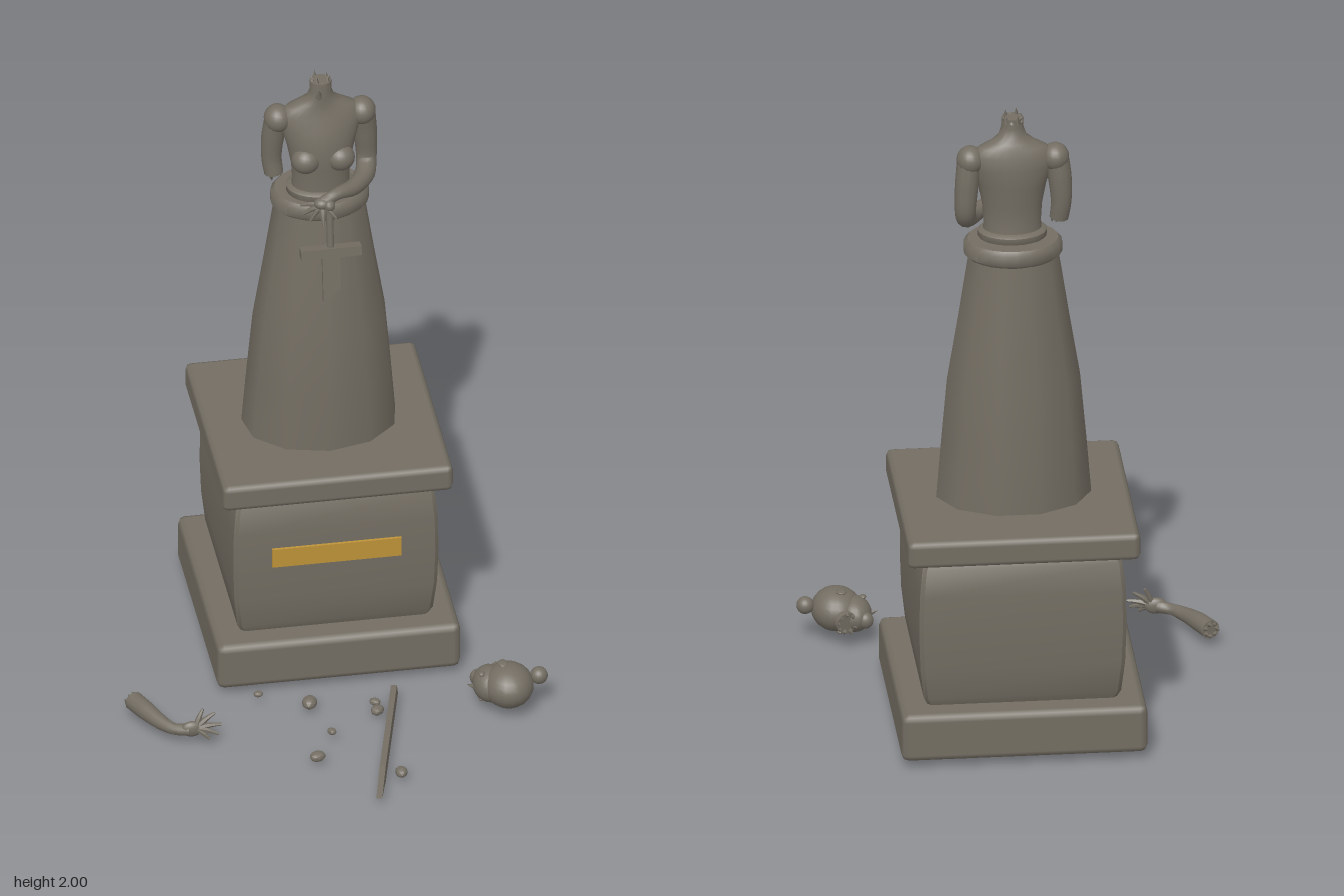
import * as THREE from 'three';
import { toCreasedNormals } from 'three/addons/utils/BufferGeometryUtils.js';
import { RoundedBoxGeometry } from 'three/addons/geometries/RoundedBoxGeometry.js';

const stone = new THREE.MeshStandardMaterial({ color: 0x736d62 });
stone.name = 'weathered stone';
const brass = new THREE.MeshStandardMaterial({ color: 0xbd9238 });
brass.name = 'brass';

const CX = 0.032, CZ = -0.33;
const V = (x, y, z) => new THREE.Vector3(x, y, z);

function add(parent, name, geometry, x = 0, y = 0, z = 0, material = stone) {
  const mesh = new THREE.Mesh(geometry, material);
  mesh.name = name;
  mesh.position.set(x, y, z);
  parent.add(mesh);
  return mesh;
}

// Skin a row of closed rings and cap both ends.
function loft(rings, crease = 0.8) {
  const n = rings[0].length, pos = [], index = [];
  const push = p => pos.push(p.x, p.y, p.z);
  rings.forEach(r => r.forEach(push));
  for (let i = 0; i < rings.length - 1; i++) {
    for (let j = 0; j < n; j++) {
      const a = i * n + j, b = i * n + (j + 1) % n;
      index.push(a, b, b + n, a, b + n, a + n);
    }
  }
  [0, rings.length - 1].forEach((k, end) => {
    const c = rings[k].reduce((s, p) => s.add(p), V(0, 0, 0)).divideScalar(n);
    const centre = pos.length / 3;
    push(c);
    for (let j = 0; j < n; j++) {
      const a = k * n + j, b = k * n + (j + 1) % n;
      if (end) index.push(a, b, centre);
      else index.push(b, a, centre);
    }
  });
  const g = new THREE.BufferGeometry();
  g.setAttribute('position', new THREE.Float32BufferAttribute(pos, 3));
  g.setIndex(index);
  return toCreasedNormals(g, crease);
}

// Upright body from sections [y, centre z, half width, half depth].
function body(sections, sides, crease) {
  return loft(sections.map(([y, z, rx, rz]) => Array.from({ length: sides }, (_, j) => {
    const a = j / sides * Math.PI * 2;
    return V(CX + Math.sin(a) * rx, y, z + Math.cos(a) * rz);
  })), crease);
}

// Tapered limb through points [x, y, z, radius].
function limb(points, steps = 16, sides = 12) {
  const curve = new THREE.CatmullRomCurve3(points.map(p => V(p[0], p[1], p[2])));
  const frames = curve.computeFrenetFrames(steps);
  const rings = [];
  for (let i = 0; i <= steps; i++) {
    const u = i / steps, t = curve.getUtoTmapping(u) * (points.length - 1);
    const k = Math.min(Math.floor(t), points.length - 2);
    const r = THREE.MathUtils.lerp(points[k][3], points[k + 1][3], t - k);
    const c = curve.getPointAt(u);
    rings.push(Array.from({ length: sides }, (_, j) => {
      const a = j / sides * Math.PI * 2;
      return c.clone().addScaledVector(frames.normals[i], r * Math.cos(a))
        .addScaledVector(frames.binormals[i], r * Math.sin(a));
    }));
  }
  return loft(rings, 1.0);
}

function ball(parent, name, x, y, z, rx, ry = rx, rz = rx) {
  return add(parent, name, new THREE.SphereGeometry(1, 20, 14).scale(rx, ry, rz), x, y, z);
}

function fingers(parent, palm, tips) {
  tips.forEach(([x, y, z]) => add(parent, 'finger', limb([
    [...palm, 0.011],
    [(palm[0] + x) / 2, (palm[1] + y) / 2 + 0.004, (palm[2] + z) / 2, 0.0085],
    [x, y, z, 0.004]], 6, 6)));
}

// Ragged splinters around a break.
function splinters(parent, centre, radius, dir, count, length) {
  const d = dir.clone().normalize();
  const q = new THREE.Quaternion().setFromUnitVectors(V(0, 1, 0), d);
  for (let i = 0; i < count; i++) {
    const a = i / count * Math.PI * 2, h = length * (0.6 + 0.4 * Math.sin(i * 2.4));
    const p = V(Math.cos(a) * radius, h * 0.3, Math.sin(a) * radius).applyQuaternion(q).add(centre);
    add(parent, 'splinter', new THREE.ConeGeometry(0.009, h, 4), p.x, p.y, p.z).quaternion.copy(q);
  }
}

function extrude(points, depth) {
  const shape = new THREE.Shape(points.map(p => new THREE.Vector2(p[0], p[1])));
  return new THREE.ExtrudeGeometry(shape, { depth, bevelEnabled: false }).translate(0, 0, -depth / 2);
}

function pedestal() {
  const g = new THREE.Group();
  g.name = 'pedestal';
  add(g, 'baseSlab', new RoundedBoxGeometry(0.745, 0.153, 0.737, 1, 0.022), CX, 0.099, CZ);
  add(g, 'topSlab', new RoundedBoxGeometry(0.705, 0.086, 0.7, 1, 0.018), CX, 0.698, CZ);
  // Square block whose sides swell in the middle
  const prof = [[0.17, 0.285], [0.2, 0.299], [0.3, 0.31], [0.42, 0.314], [0.54, 0.312], [0.63, 0.303], [0.66, 0.285]];
  add(g, 'block', loft(prof.map(([y, h]) => {
    const c = h - 0.012;
    return [[-c, h], [c, h], [h, c], [h, -c], [c, -h], [-c, -h], [-h, -c], [-h, c]]
      .map(([x, z]) => V(CX + x, y, CZ + z));
  }), 0.6));
  add(g, 'plaque', new THREE.BoxGeometry(0.395, 0.064, 0.009), CX, 0.453, -0.012, brass);
  return g;
}

function statue() {
  const g = new THREE.Group();
  g.name = 'statue';
  add(g, 'skirt', body([[0.735, -0.32, 0.238, 0.188], [0.93, -0.318, 0.222, 0.18],
    [1.13, -0.315, 0.204, 0.167], [1.33, -0.318, 0.171, 0.142], [1.55, -0.32, 0.137, 0.113]], 11));
  add(g, 'skirtRim', body([[1.53, -0.32, 0.138, 0.114], [1.54, -0.32, 0.15, 0.122],
    [1.572, -0.32, 0.15, 0.122], [1.585, -0.32, 0.138, 0.113]], 22));
  add(g, 'waistband', body([[1.58, -0.305, 0.1, 0.078], [1.588, -0.305, 0.105, 0.083],
    [1.605, -0.305, 0.105, 0.083], [1.612, -0.305, 0.095, 0.073]], 24));
  add(g, 'torso', body([[1.57, -0.305, 0.094, 0.07], [1.63, -0.302, 0.087, 0.063],
    [1.69, -0.3, 0.091, 0.065], [1.76, -0.302, 0.104, 0.07], [1.82, -0.312, 0.122, 0.062],
    [1.86, -0.315, 0.128, 0.053], [1.885, -0.315, 0.104, 0.045], [1.902, -0.313, 0.068, 0.041],
    [1.92, -0.308, 0.043, 0.035], [1.945, -0.304, 0.034, 0.031], [1.978, -0.306, 0.033, 0.03]], 28, 1.0));
  for (const s of [-1, 1]) {
    ball(g, 'breast', CX + s * 0.053, 1.722, -0.258, 0.044, 0.042, 0.042);
    ball(g, 'shoulder', CX + s * 0.129, 1.845, -0.318, 0.042, 0.044, 0.045);
  }
  splinters(g, V(CX, 1.972, -0.31), 0.027, V(0, 1, -0.15), 9, 0.034);
  add(g, 'neckShard', new THREE.ConeGeometry(0.012, 0.04, 4), CX - 0.01, 1.95, -0.27).rotation.x = 0.4;

  // Broken right arm
  add(g, 'rightUpperArm', limb([[-0.1, 1.85, -0.318, 0.037], [-0.11, 1.78, -0.325, 0.036],
    [-0.114, 1.7, -0.328, 0.031], [-0.108, 1.645, -0.322, 0.029]]));
  splinters(g, V(-0.108, 1.645, -0.322), 0.02, V(0.1, -1, 0), 6, 0.025);

  // Left arm bent across the waist
  add(g, 'leftArm', limb([[0.164, 1.85, -0.318, 0.037], [0.173, 1.76, -0.328, 0.036],
    [0.176, 1.665, -0.325, 0.031], [0.163, 1.638, -0.28, 0.031], [0.115, 1.636, -0.215, 0.026],
    [0.06, 1.646, -0.175, 0.019], [0.01, 1.63, -0.155, 0.018]], 28));
  ball(g, 'leftPalm', 0.012, 1.63, -0.155, 0.026, 0.018, 0.022);
  fingers(g, [0.01, 1.625, -0.152], [[-0.05, 1.612, -0.18], [-0.045, 1.59, -0.165],
    [-0.025, 1.573, -0.15], [0.01, 1.57, -0.12], [0.05, 1.59, -0.125]]);

  // Broken sword hanging from the hand
  const sword = new THREE.Group();
  sword.name = 'brokenSword';
  add(sword, 'grip', new THREE.CylinderGeometry(0.011, 0.011, 0.14, 8), 0, -0.065, 0);
  add(sword, 'pommel', new THREE.SphereGeometry(0.018, 10, 8), 0, 0.005, 0);
  add(sword, 'guard', new THREE.BoxGeometry(0.185, 0.03, 0.034), 0, -0.147, 0);
  add(sword, 'bladeStub', extrude([[-0.027, -0.15], [-0.027, -0.312], [-0.01, -0.3],
    [0.027, -0.27], [0.027, -0.15]], 0.016));
  sword.position.set(CX, 1.62, -0.145);
  sword.rotation.x = -0.15;
  g.add(sword);
  return g;
}

function fallenPieces() {
  const g = new THREE.Group();
  g.name = 'fallenPieces';
  // Blade standing on its edge
  const blade = add(g, 'fallenBlade', extrude([[0, 0], [0.475, 0], [0.614, 0.03],
    [0.475, 0.056], [0.04, 0.056]], 0.018), 0.19, 0, 0.105);
  blade.rotation.y = Math.atan2(-0.969, -0.244);

  // Severed forearm and hand
  add(g, 'fallenForearm', limb([[-0.608, 0.055, 0.092, 0.03], [-0.578, 0.054, 0.155, 0.029],
    [-0.54, 0.05, 0.222, 0.022], [-0.505, 0.05, 0.26, 0.017], [-0.465, 0.055, 0.274, 0.02]]));
  ball(g, 'fallenPalm', -0.46, 0.057, 0.275, 0.034, 0.026, 0.016);
  fingers(g, [-0.45, 0.058, 0.277], [[-0.425, 0.118, 0.265], [-0.39, 0.105, 0.272],
    [-0.372, 0.072, 0.287], [-0.382, 0.045, 0.3], [-0.41, 0.03, 0.3]]);
  splinters(g, V(-0.61, 0.055, 0.089), 0.02, V(-0.4, 0, -1), 7, 0.022);

  // Severed head on its side, face toward the pedestal's centre line
  const head = new THREE.Group();
  head.name = 'fallenHead';
  ball(head, 'skull', 0.51, 0.099, 0.262, 0.077, 0.067, 0.084);
  ball(head, 'face', 0.457, 0.092, 0.235, 0.052, 0.054, 0.067);
  ball(head, 'chin', 0.428, 0.088, 0.19, 0.024, 0.026, 0.022);
  add(head, 'nose', new THREE.ConeGeometry(0.013, 0.036, 5), 0.404, 0.09, 0.237).rotation.z = 1.2;
  add(head, 'neckStump', limb([[0.51, 0.092, 0.25, 0.042], [0.495, 0.09, 0.2, 0.036],
    [0.485, 0.088, 0.172, 0.035]], 8));
  splinters(head, V(0.485, 0.088, 0.17), 0.028, V(-0.15, 0, -1), 9, 0.026);
  ball(head, 'hairBun', 0.605, 0.117, 0.254, 0.027);
  for (const y of [0.05, 0.139]) {
    ball(head, 'eye', 0.43, y, 0.25, 0.01, 0.007, 0.012);
    ball(head, 'ear', 0.497, y < 0.1 ? 0.034 : 0.163, 0.24, 0.016, 0.006, 0.02);
  }
  g.add(head);

  // Loose rubble
  [[-0.225, 0.085, 0.015], [-0.08, 0.155, 0.029], [0.115, 0.185, 0.018], [0.115, 0.23, 0.023],
    [-0.04, 0.32, 0.016], [-0.105, 0.445, 0.025], [0.13, 0.57, 0.024]].forEach(([x, z, r], i) => {
    const rock = add(g, 'rubble', toCreasedNormals(new THREE.IcosahedronGeometry(r, 1).scale(1, 0.65, 0.8), 0.6), x, 0.03, z);
    rock.rotation.y = i * 1.3;
  });
  return g;
}

export function createModel() {
  const model = new THREE.Group();
  model.name = 'brokenStatue';
  model.add(pedestal(), statue(), fallenPieces());
  return model;
}
